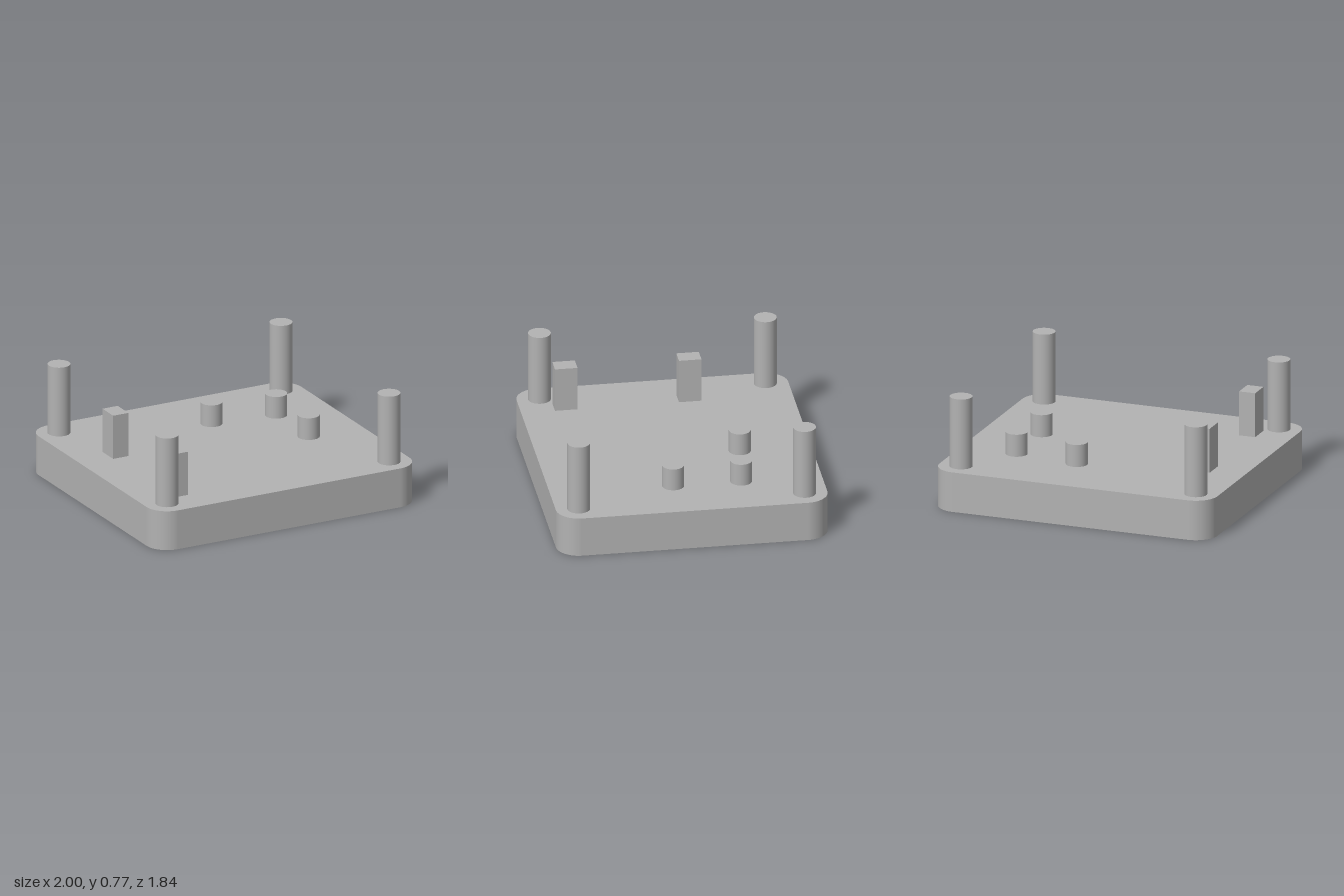
import * as THREE from 'three';

export function createModel() {
  const model = new THREE.Group();
  model.name = 'enclosureBase';

  const grey = new THREE.MeshStandardMaterial({ color: 0xb2b2b2 });
  grey.name = 'plain grey';

  const W = 1, D = 0.922, R = 0.155; // half width, half depth, corner radius
  const H = 0.278;                   // slab thickness

  const add = (name, geometry, x, y, z) => {
    const mesh = new THREE.Mesh(geometry, grey);
    mesh.name = name;
    mesh.position.set(x, y, z);
    model.add(mesh);
  };

  // Slab with rounded vertical corners
  const outline = new THREE.Shape();
  outline.absarc(W - R, D - R, R, 0, Math.PI / 2);
  outline.absarc(R - W, D - R, R, Math.PI / 2, Math.PI);
  outline.absarc(R - W, R - D, R, Math.PI, Math.PI * 1.5);
  outline.absarc(W - R, R - D, R, Math.PI * 1.5, Math.PI * 2);
  outline.closePath();
  const slab = new THREE.ExtrudeGeometry(outline, { depth: H, bevelEnabled: false, curveSegments: 16 });
  slab.rotateX(-Math.PI / 2);
  add('slab', slab, 0, 0, 0);

  // Upright parts standing on the slab
  const cylinder = (name, r, top, x, z) =>
    add(name, new THREE.CylinderGeometry(r, r, top - H, 48), x, (H + top) / 2, z);

  // Tall corner posts, concentric with the slab corners
  for (const sx of [-1, 1])
    for (const sz of [-1, 1]) cylinder('cornerPost', 0.077, 0.77, sx * (W - R), sz * (D - R));

  // Short round pegs
  for (const [x, z] of [[0.14, -0.438], [0.598, -0.375], [0.598, 0.087]])
    cylinder('shortPeg', 0.0745, 0.433, x, z);

  // Rectangular support blocks
  const top = 0.587;
  for (const z of [-0.226, 0.616])
    add('supportBlock', new THREE.BoxGeometry(0.116, top - H, 0.153), -0.705, (H + top) / 2, z);

  return model;
}
